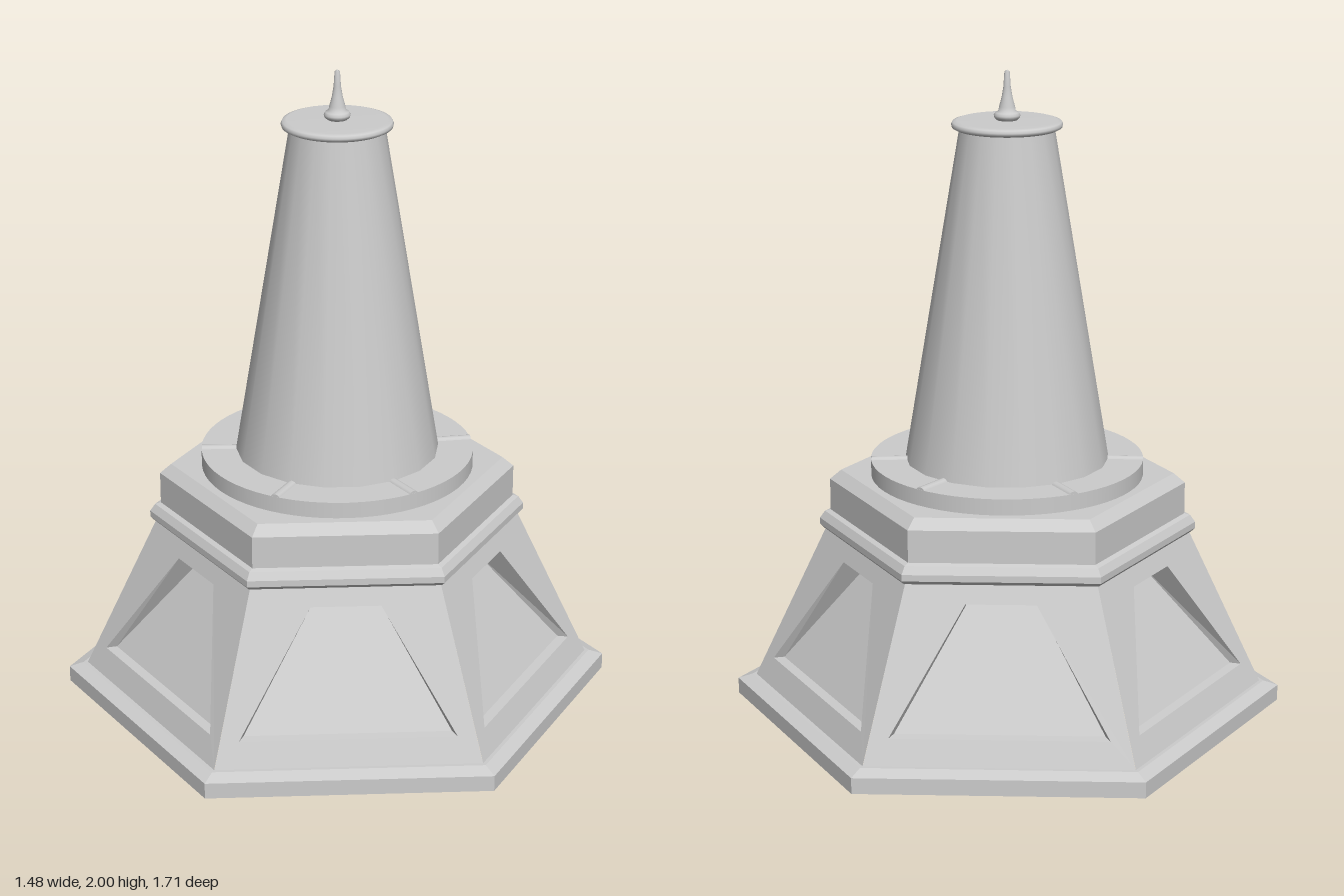
import * as THREE from 'three';

const smooth = new THREE.MeshStandardMaterial({ color: 0xcccccc });
const flat = new THREE.MeshStandardMaterial({ color: 0xcccccc, flatShading: true });

// Turned part: profile of [radius, y] pairs from bottom to top
function lathe(name, profile, sides, material) {
  const points = profile.map(([r, y]) => new THREE.Vector2(r, y));
  const mesh = new THREE.Mesh(new THREE.LatheGeometry(points, sides), material);
  mesh.name = name;
  return mesh;
}

// Four corners of a trapezoid facing +x: [distance, y, half width] for bottom and top
function trapezoid([a0, y0, w0], [a1, y1, w1]) {
  return [[a0, y0, w0], [a0, y0, -w0], [a1, y1, -w1], [a1, y1, w1]];
}

// One sloping wall with a recessed panel, made of nested trapezoids
function wallGeometry() {
  const rings = [
    trapezoid([0.69, 0.065, 0.398], [0.49, 0.56, 0.283]), // wall outline
    trapezoid([0.66, 0.14, 0.325], [0.512, 0.505, 0.105]), // opening
    trapezoid([0.63, 0.143, 0.31], [0.425, 0.497, 0.093]), // recess floor
  ];
  const positions = [];
  const quad = (a, b, c, d) => positions.push(...a, ...b, ...c, ...a, ...c, ...d);
  for (let r = 0; r < 2; r++) {
    for (let i = 0; i < 4; i++) {
      const j = (i + 1) % 4;
      quad(rings[r][i], rings[r][j], rings[r + 1][j], rings[r + 1][i]);
    }
  }
  quad(...rings[2]);
  const geometry = new THREE.BufferGeometry();
  geometry.setAttribute('position', new THREE.Float32BufferAttribute(positions, 3));
  geometry.computeVertexNormals();
  return geometry;
}

export function createModel() {
  const model = new THREE.Group();
  model.name = 'hexagonalTower';

  // Hexagonal foot
  model.add(lathe('foot', [[0, 0], [0.855, 0], [0.855, 0.05], [0.81, 0.065], [0.79, 0.065]], 6, flat));

  // Six panelled walls
  const walls = new THREE.Group();
  walls.name = 'panelledWalls';
  const wall = wallGeometry();
  for (let k = 0; k < 6; k++) {
    const mesh = new THREE.Mesh(wall, flat);
    mesh.name = 'wallPanel';
    mesh.rotation.y = (k * Math.PI) / 3;
    walls.add(mesh);
  }
  model.add(walls);

  // Moulding and hexagonal cornice
  model.add(lathe('cornice', [
    [0.55, 0.56], [0.572, 0.56], [0.584, 0.572], [0.584, 0.592], [0.568, 0.615],
    [0.55, 0.62], [0.55, 0.72], [0.515, 0.75], [0, 0.75],
  ], 6, flat));

  // Round plinth with small radial ribs
  const plinth = new THREE.Mesh(new THREE.CylinderGeometry(0.42, 0.42, 0.05, 64), smooth);
  plinth.name = 'plinth';
  plinth.position.y = 0.775;
  model.add(plinth);

  const ribs = new THREE.Group();
  ribs.name = 'plinthRibs';
  for (const degrees of [24, 90, 149, 211, 270, 336]) {
    const pivot = new THREE.Group();
    pivot.rotation.y = THREE.MathUtils.degToRad(degrees);
    const rib = new THREE.Mesh(new THREE.CylinderGeometry(0.018, 0.018, 0.12, 12), smooth);
    rib.name = 'rib';
    rib.rotation.z = Math.PI / 2;
    rib.position.set(0.359, 0.79, 0);
    pivot.add(rib);
    ribs.add(pivot);
  }
  model.add(ribs);

  // Tapering shaft
  model.add(lathe('shaft', [[0.314, 0.795], [0.142, 1.83]], 18, smooth));

  // Cap disc with a rounded rim
  const rim = [[0.0, 1.825], [0.155, 1.825], [0.165, 1.83], [0.167, 1.838], [0.163, 1.846], [0.15, 1.85], [0, 1.85]];
  model.add(lathe('capDisc', rim, 48, smooth));

  // Finial
  model.add(lathe('finial', [
    [0.03, 1.85], [0.038, 1.857], [0.04, 1.865], [0.035, 1.873], [0.026, 1.878], [0.024, 1.89],
    [0.016, 1.92], [0.011, 1.95], [0.008, 1.995], [0, 2],
  ], 24, smooth));

  return model;
}
